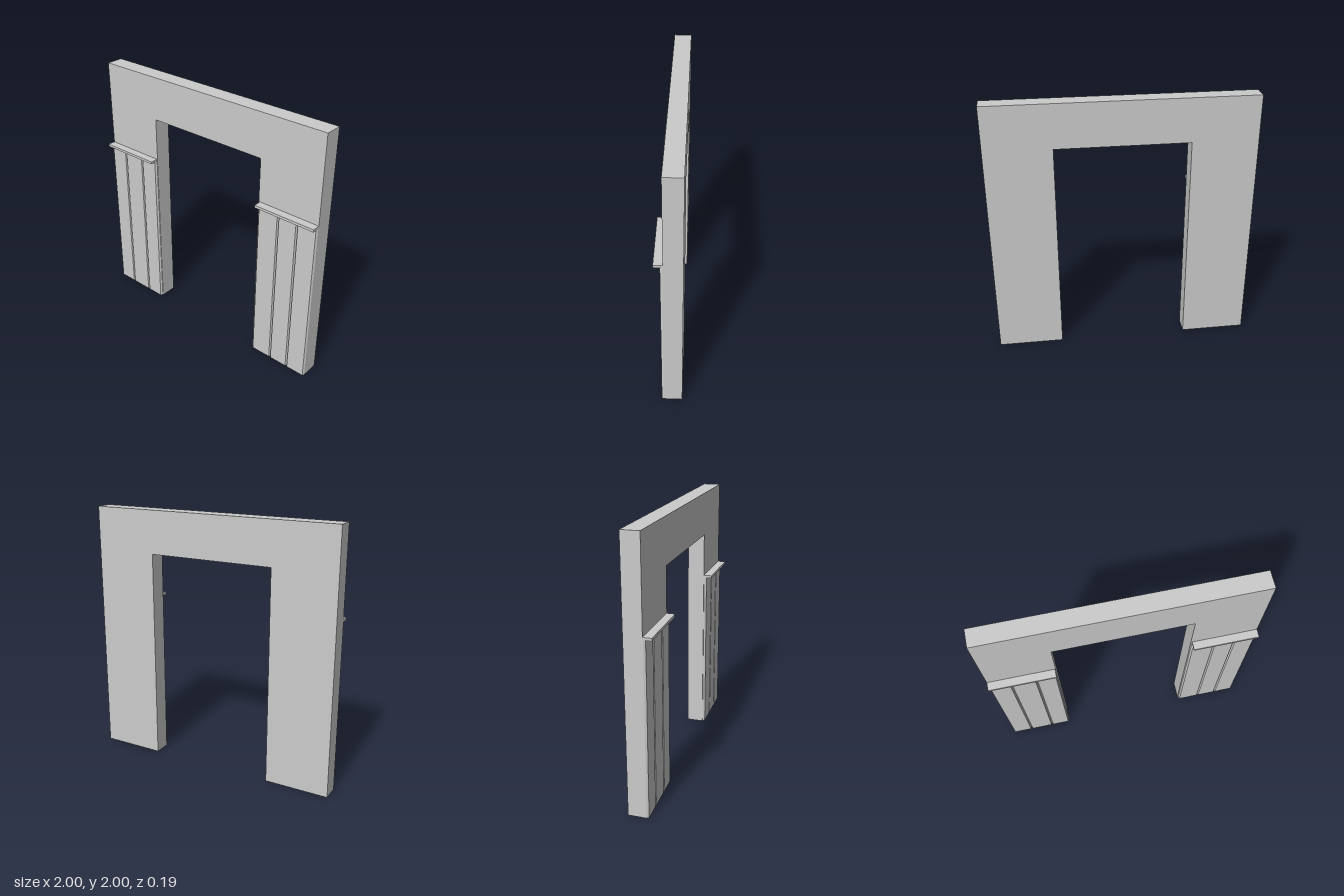
import * as THREE from 'three';

const BACK = -0.098, FACE = 0.035, PLANK_FRONT = 0.053, RAIL_FRONT = 0.097;
const PLANK_TOP = 1.31, RAIL_TOP = 1.33, BEVEL = 0.008;

export function createModel() {
  const model = new THREE.Group();
  const material = new THREE.MeshStandardMaterial({ color: 0xcccccc, flatShading: true });

  const add = (parent, name, geometry) => {
    const mesh = new THREE.Mesh(geometry, material);
    mesh.name = name;
    parent.add(mesh);
    return mesh;
  };
  const outline = (points) => new THREE.Shape(points.map(([x, y]) => new THREE.Vector2(x, y)));

  // Wall with a doorway open to the floor
  const wall = new THREE.ExtrudeGeometry(outline([
    [-1, 0], [-0.5, 0], [-0.5, 1.665], [0.5, 1.665], [0.5, 0], [1, 0], [1, 2], [-1, 2],
  ]), { depth: FACE - BACK, bevelEnabled: false });
  wall.translate(0, 0, BACK);
  add(model, 'doorwayWall', wall);

  // Upright plank with both front edges bevelled
  const plankGeometry = (x0, x1) => {
    const geometry = new THREE.ExtrudeGeometry(outline([
      [x0, -FACE], [x0, -FACE - 0.003], [x0 + BEVEL, -PLANK_FRONT],
      [x1 - BEVEL, -PLANK_FRONT], [x1, -FACE - 0.003], [x1, -FACE],
    ]), { depth: PLANK_TOP, bevelEnabled: false });
    return geometry.rotateX(-Math.PI / 2);
  };

  // Wainscot on each side: three planks capped by a projecting rail
  const sides = [
    { name: 'rightWainscot', seams: [-1, -0.8425, -0.657, -0.505] },
    { name: 'leftWainscot', seams: [0.51, 0.683, 0.84, 1] },
  ];
  for (const { name, seams } of sides) {
    const wainscot = new THREE.Group();
    wainscot.name = name;
    for (let i = 0; i < 3; i++) add(wainscot, 'plank', plankGeometry(seams[i], seams[i + 1]));

    const rail = add(wainscot, 'capRail',
      new THREE.BoxGeometry(seams[3] - seams[0], RAIL_TOP - PLANK_TOP, RAIL_FRONT - FACE));
    rail.position.set((seams[0] + seams[3]) / 2, (PLANK_TOP + RAIL_TOP) / 2, (FACE + RAIL_FRONT) / 2);
    model.add(wainscot);
  }
  return model;
}
